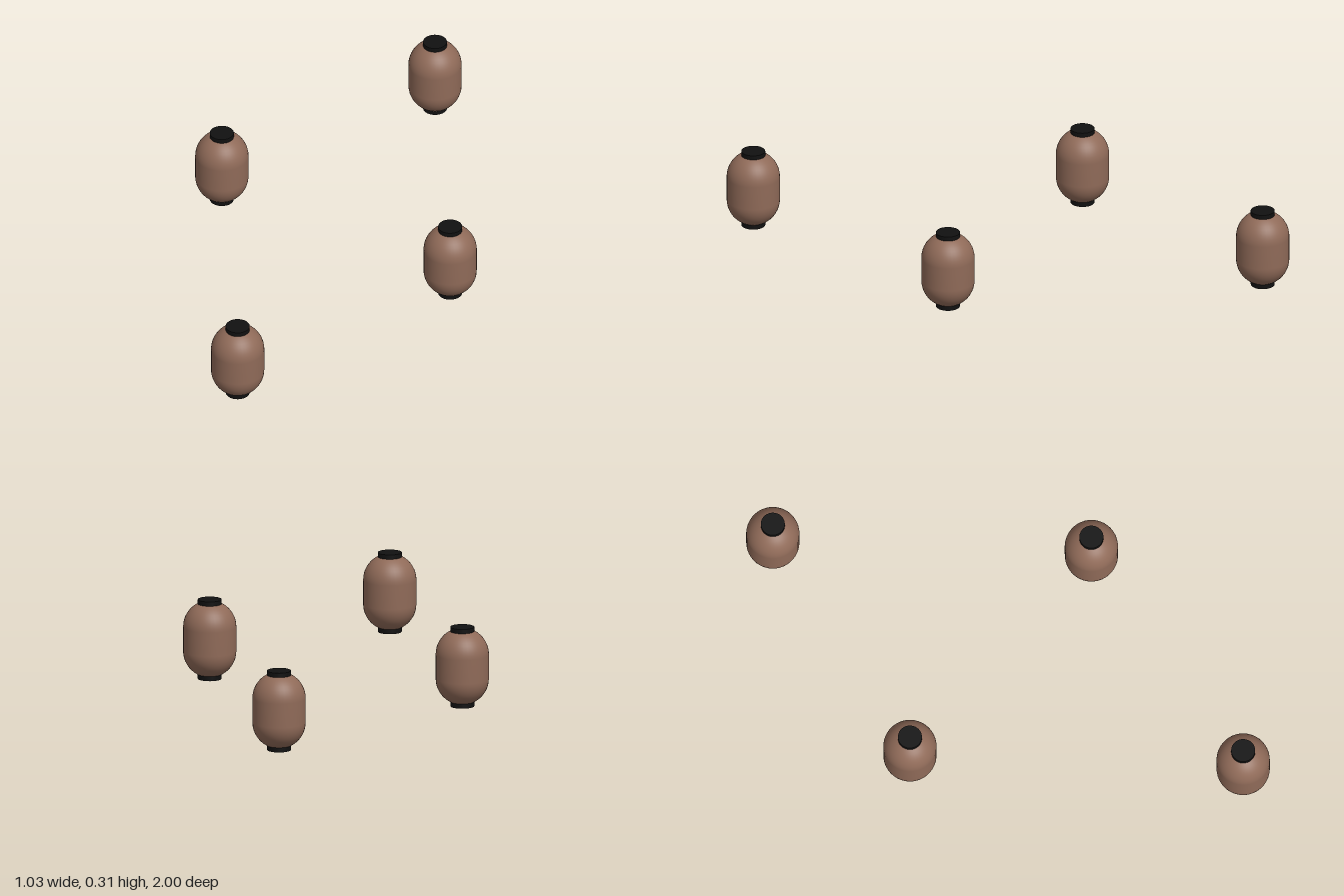
import * as THREE from 'three';

const paper = new THREE.MeshStandardMaterial({ name: 'brownPaper', color: 0x8f6a58 });
const black = new THREE.MeshStandardMaterial({ name: 'blackRim', color: 0x111111 });

// Paper body: straight sides with round shoulders
const R = 0.1, LOW = 0.107, HIGH = 0.199;
const profile = [];
for (let i = 0; i <= 12; i++) {
  const a = -Math.PI / 2 + (i / 12) * (Math.PI / 2);
  profile.push(new THREE.Vector2(Math.max(0, R * Math.cos(a)), LOW + R * Math.sin(a)));
}
for (let i = 0; i <= 12; i++) {
  const a = (i / 12) * (Math.PI / 2);
  profile.push(new THREE.Vector2(Math.max(0, R * Math.cos(a)), HIGH + R * Math.sin(a)));
}
const bodyGeometry = new THREE.LatheGeometry(profile, 40);
const rimGeometry = new THREE.CylinderGeometry(0.045, 0.045, 0.018, 32);

function createLantern(x, z) {
  const lantern = new THREE.Group();
  lantern.name = 'lantern';
  const body = new THREE.Mesh(bodyGeometry, paper);
  body.name = 'lanternBody';
  lantern.add(body);
  // Rims closing the top and bottom
  for (const [name, y] of [['bottomRim', 0.009], ['topRim', 0.296]]) {
    const rim = new THREE.Mesh(rimGeometry, black);
    rim.name = name;
    rim.position.y = y;
    lantern.add(rim);
  }
  lantern.position.set(x, 0, z);
  return lantern;
}

export function createModel() {
  const model = new THREE.Group();
  model.name = 'lanterns';
  // Four lanterns staggered on two sides
  for (const [x, z] of [[0.413, -0.9], [-0.413, -0.35], [0.413, 0.295], [-0.413, 0.9]]) {
    model.add(createLantern(x, z));
  }
  return model;
}
